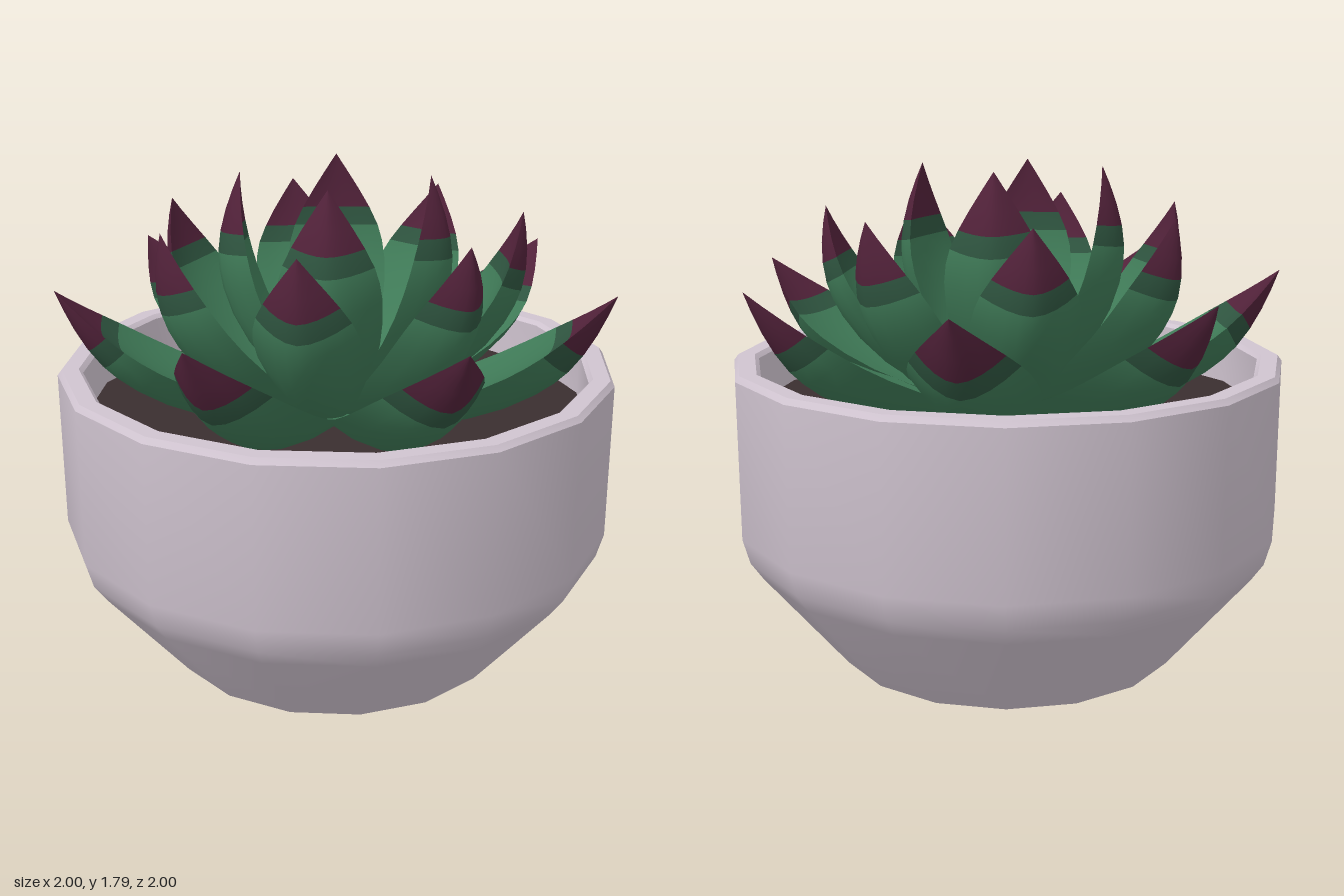
import * as THREE from 'three';
import { toCreasedNormals } from 'three/addons/utils/BufferGeometryUtils.js';

const mat = (name, color) => new THREE.MeshStandardMaterial({ name, color });

// Leaf outline along its length: [t, half width, underside depth]
const OUTLINE = [
  [0, 0.09, 0.05], [0.12, 0.125, 0.09], [0.25, 0.16, 0.12], [0.38, 0.188, 0.14],
  [0.5, 0.2, 0.148], [0.6, 0.2, 0.146], [0.67, 0.19, 0.138], [0.73, 0.172, 0.125],
  [0.8, 0.137, 0.1], [0.87, 0.093, 0.068], [0.94, 0.044, 0.032], [1, 0, 0],
];
const BAND_ROW = 7, TIP_ROW = 8, ACROSS = 8;

// Pointed fleshy leaf swept along a curve in the x-y plane
function leafGeometry(base, bend, tip, width, depth) {
  const curve = new THREE.QuadraticBezierCurve(
    new THREE.Vector2(...base), new THREE.Vector2(...bend), new THREE.Vector2(...tip));
  const positions = [], indices = [];
  const geometry = new THREE.BufferGeometry();
  const last = OUTLINE.length - 1;

  for (const underside of [false, true]) {
    const start = positions.length / 3;
    for (const [t, w, d] of OUTLINE) {
      const p = curve.getPoint(t), dir = curve.getTangent(t);
      for (let j = 0; j <= ACROSS; j++) {
        const u = (j / ACROSS) * 2 - 1;
        const arch = 1 - Math.pow(Math.abs(u), 1.7);
        const h = underside ? -d * depth * arch : -0.12 * w * (1 - u * u);
        positions.push(p.x - dir.y * h, p.y + dir.x * h, u * w * width);
      }
    }
    // Body, band and tip colour groups
    [[0, BAND_ROW], [BAND_ROW, TIP_ROW], [TIP_ROW, last]].forEach(([from, to], material) => {
      const first = indices.length;
      for (let i = from; i < to; i++) {
        for (let j = 0; j < ACROSS; j++) {
          const a = start + i * (ACROSS + 1) + j, b = a + 1;
          const c = a + ACROSS + 1, d = c + 1;
          if (underside) indices.push(a, c, b, b, c, d);
          else indices.push(a, b, c, b, d, c);
        }
      }
      geometry.addGroup(first, indices.length - first, material);
    });
  }
  geometry.setAttribute('position', new THREE.Float32BufferAttribute(positions, 3));
  geometry.setIndex(indices);
  geometry.computeVertexNormals();
  return geometry;
}

export function createModel() {
  const model = new THREE.Group();
  model.name = 'pottedSucculent';

  const ceramic = mat('paleCeramic', 0xd0c4d0);
  const earth = mat('darkSoil', 0x3a2e2f);
  const leafColours = [
    mat('leafGreen', 0x3f7a57), mat('leafDarkGreen', 0x2f5540), mat('leafTipPurple', 0x52223a),
  ];

  // Pot with tapered foot and hollow rim
  const profile = [
    [0, 0], [0.63, 0], [0.93, 0.365], [0.975, 0.43], [1, 0.52], [1, 1.085],
    [0.985, 1.105], [0.925, 1.105], [0.91, 1.09], [0.91, 0.9],
  ].map(([x, y]) => new THREE.Vector2(x, y));
  const pot = new THREE.Mesh(toCreasedNormals(new THREE.LatheGeometry(profile, 16), 0.6), ceramic);
  pot.name = 'pot';
  model.add(pot);

  // Soil disc
  const soil = new THREE.Mesh(new THREE.CircleGeometry(0.912, 16).rotateX(-Math.PI / 2), earth);
  soil.name = 'soil';
  soil.position.y = 0.93;
  model.add(soil);

  // Leaf rosette, from the spreading outer ring to the upright inner one
  const evenAngles = (offset) => Array.from({ length: 7 }, (_, i) => offset + (i * 360) / 7);
  const rings = [
    { name: 'outer', angles: evenAngles(0), shape: [[0.05, 0.93], [0.6, 1.04], [0.99, 1.41], 1.05, 1] },
    { name: 'middle', angles: evenAngles(34.4), shape: [[0.04, 0.93], [0.54, 1.2], [0.66, 1.64], 0.92, 0.9] },
    { name: 'inner', angles: [0, 80, 163, 255], shape: [[0, 0.95], [0.34, 1.28], [0.335, 1.79], 0.9, 0.85] },
  ];
  for (const { name, angles, shape } of rings) {
    const ring = new THREE.Group();
    ring.name = name + 'Leaves';
    const geometry = leafGeometry(...shape);
    for (const angle of angles) {
      const leaf = new THREE.Mesh(geometry, leafColours);
      leaf.name = name + 'Leaf';
      leaf.rotation.y = -THREE.MathUtils.degToRad(angle);
      ring.add(leaf);
    }
    model.add(ring);
  }
  return model;
}
